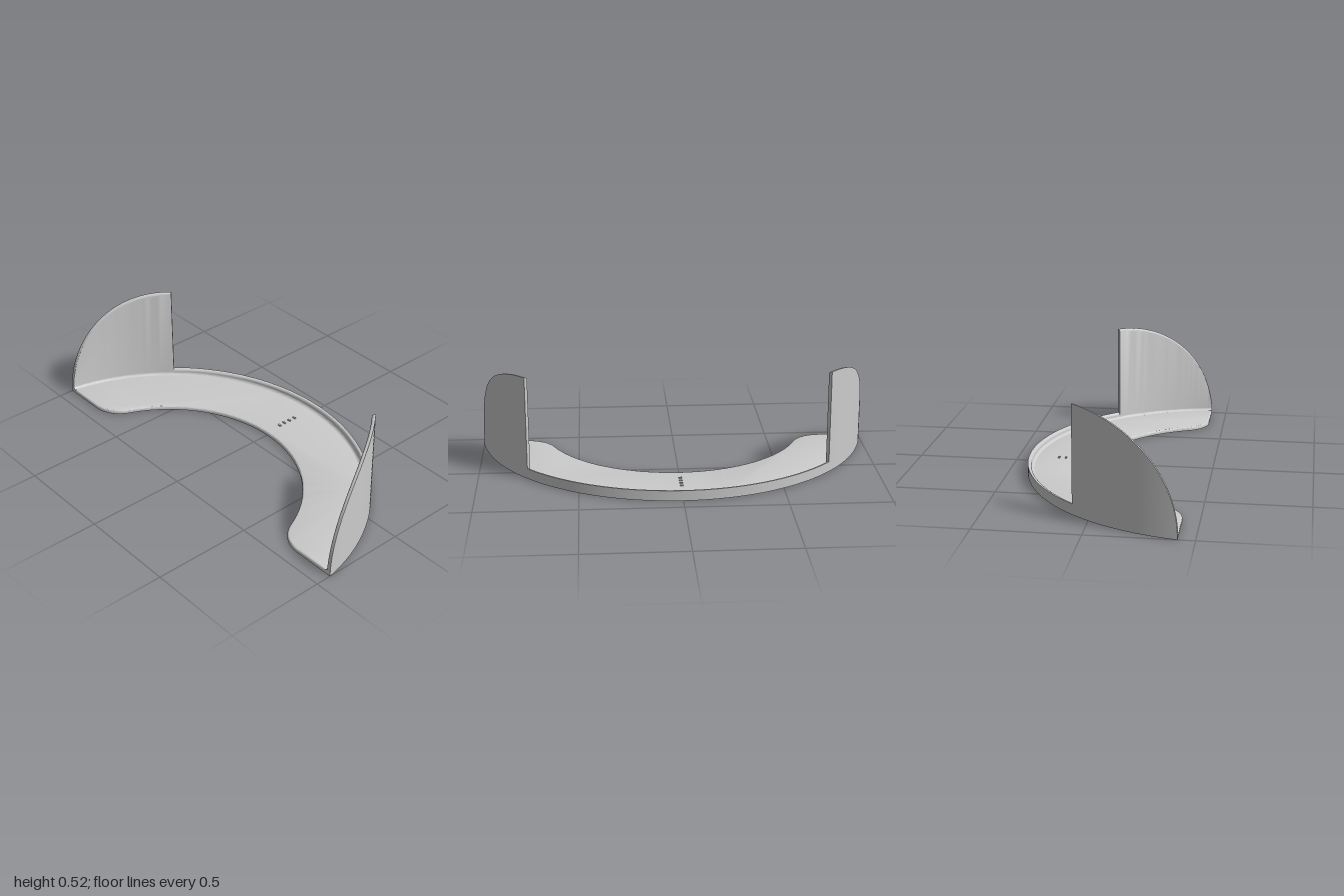
import * as THREE from 'three';
import { toCreasedNormals } from 'three/addons/utils/BufferGeometryUtils.js';

const FRONT = 0.421;             // z of the front edge
const CZ = 0.594, R = 1.015;     // centre and radius of the outer arc
const INNER = 0.685;             // radius of the inner arc
const FLOOR = 0.02, RIM = 0.052, WALL = 0.525;
const STEP = -0.085;             // z where the side walls begin
const T = 0.018, ROUND = 0.013, FILLET = 0.014;

const material = new THREE.MeshStandardMaterial({ color: 0xcccccc });
const angleAt = (z) => Math.acos((CZ - z) / R);

// Wall cross-section as [inset, y]: square outside, rounded inner top, fillet to the floor
function section(h) {
  const pts = [[0, 0], [0, h]];
  for (let i = 0; i <= 4; i++) {
    const a = (i / 4) * Math.PI / 2;
    pts.push([T - ROUND + ROUND * Math.sin(a), h - ROUND + ROUND * Math.cos(a)]);
  }
  for (let i = 0; i <= 4; i++) {
    const a = (i / 4) * Math.PI / 2;
    pts.push([T + FILLET * (1 - Math.cos(a)), FLOOR + FILLET * (1 - Math.sin(a))]);
  }
  pts.push([T + FILLET, 0]);
  return pts.map(([d, y]) => [d, Math.max(0, Math.min(y, h))]);
}

// Sweeps the section along the outer arc; stations are [angle, height]
function sweep(stations) {
  const rings = stations.map(([phi, h]) => section(h).map(([d, y]) => [
    (R - d) * Math.sin(phi), y, Math.min(FRONT, CZ - (R - d) * Math.cos(phi))]));
  const n = rings[0].length, pos = [];
  const tri = (a, b, c) => pos.push(...a, ...b, ...c);
  for (let i = 0; i < rings.length - 1; i++) {
    for (let j = 0; j < n; j++) {
      const k = (j + 1) % n, p = rings[i], q = rings[i + 1];
      tri(p[j], p[k], q[j]);
      tri(p[k], q[k], q[j]);
    }
  }
  const first = rings[0], last = rings[rings.length - 1];
  for (let j = 1; j < n - 1; j++) {
    tri(first[0], first[j + 1], first[j]);
    tri(last[0], last[j], last[j + 1]);
  }
  const g = new THREE.BufferGeometry();
  g.setAttribute('position', new THREE.Float32BufferAttribute(pos, 3));
  return toCreasedNormals(g, 0.6);
}

// Crescent floor with rounded front corners and a softened top edge
function floorGeometry() {
  const r = 0.165, fz = FRONT - r, bevel = 0.008;
  const fx = Math.sqrt((INNER + r) ** 2 - (CZ - fz) ** 2);
  const tilt = Math.atan2(CZ - fz, fx), end = angleAt(FRONT);
  const s = new THREE.Shape();
  s.absarc(0, -CZ, R - 0.004, Math.PI / 2 - end, Math.PI / 2 + end, false);
  s.absarc(-fx, -fz, r, -Math.PI / 2, -tilt, false);
  s.absarc(0, -CZ, INNER, Math.PI - tilt, tilt, true);
  s.absarc(fx, -fz, r, Math.PI + tilt, Math.PI * 1.5, false);
  s.closePath();
  const g = new THREE.ExtrudeGeometry(s, {
    depth: FLOOR - bevel, bevelThickness: bevel, bevelSize: bevel,
    bevelOffset: -bevel, bevelSegments: 3, curveSegments: 48,
  });
  // Flatten the lower bevel so the underside stays sharp
  const p = g.attributes.position;
  for (let i = 0; i < p.count; i++) p.setZ(i, Math.max(0, p.getZ(i)));
  g.rotateX(-Math.PI / 2);
  return toCreasedNormals(g, 0.6);
}

export function createModel() {
  const group = new THREE.Group();
  const add = (name, geometry) => {
    const mesh = new THREE.Mesh(geometry, material);
    mesh.name = name;
    group.add(mesh);
    return mesh;
  };

  add('floor', floorGeometry());

  // Low rim along the back
  const start = angleAt(STEP), rim = [];
  for (let i = 0; i <= 64; i++) rim.push([start * (i / 32 - 1), RIM]);
  add('backRim', sweep(rim));

  // Side walls whose top falls in a quarter ellipse to the front
  const wall = [];
  for (let i = 0; i <= 40; i++) {
    const a = (i / 40) * Math.PI / 2;
    wall.push([angleAt(STEP + (FRONT - STEP) * Math.sin(a)), WALL * Math.cos(a)]);
  }
  add('leftWall', sweep(wall));
  add('rightWall', sweep(wall.map(([phi, h]) => [-phi, h]).reverse()));

  // Row of tiny raised marks in the middle of the floor
  for (let i = 0; i < 4; i++) {
    const mark = add('floorMark', new THREE.BoxGeometry(0.018, 0.008, 0.008));
    mark.position.set(0, FLOOR + 0.002, -0.28 + i * 0.034);
  }
  return group;
}
